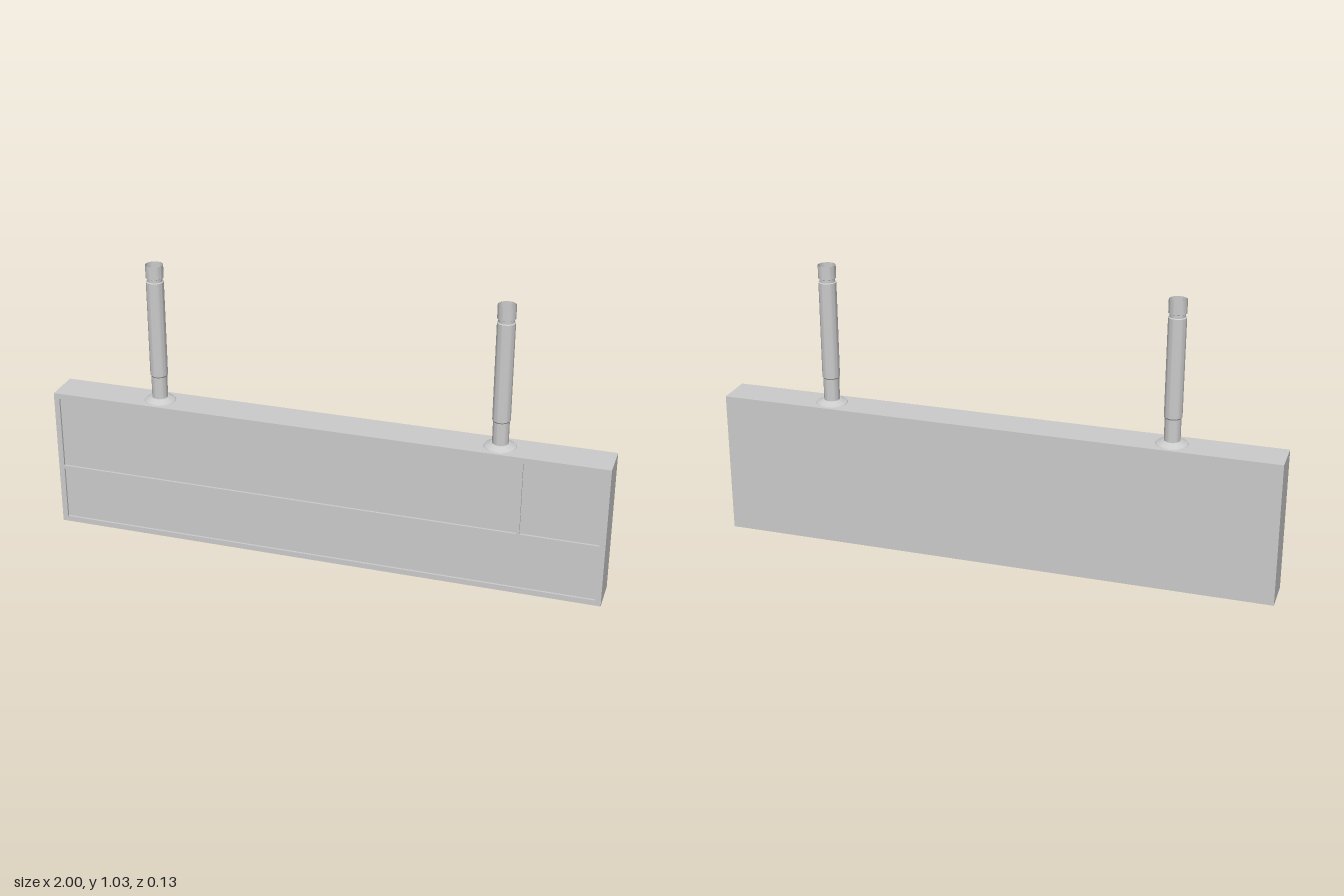
import * as THREE from 'three';
import { toCreasedNormals } from 'three/addons/utils/BufferGeometryUtils.js';

const W = 2, H = 0.518, D = 0.134, RECESS = 0.008;

function rectPath(PathType, x0, y0, x1, y1) {
  const p = new PathType();
  p.moveTo(x0, y0);
  p.lineTo(x1, y0);
  p.lineTo(x1, y1);
  p.lineTo(x0, y1);
  p.closePath();
  return p;
}

export function createModel() {
  const model = new THREE.Group();
  const grey = new THREE.MeshStandardMaterial({ color: 0xcccccc });
  const greyThin = new THREE.MeshStandardMaterial({ color: 0xcccccc, side: THREE.DoubleSide });

  const add = (name, geometry, material, x, y, z) => {
    const mesh = new THREE.Mesh(geometry, material);
    mesh.name = name;
    mesh.position.set(x, y, z);
    model.add(mesh);
  };

  // Sign body, its front forming the floor of the recessed panels
  add('signBody', new THREE.BoxGeometry(W, H, D - RECESS), grey, 0, H / 2, -RECESS / 2);

  // Front frame with three panel openings
  const frame = rectPath(THREE.Shape, -W / 2, 0, W / 2, H);
  const panels = [
    [-0.98, 0.02, 0.98, 0.218],
    [-0.98, 0.23, 0.698, 0.498],
    [0.708, 0.23, 0.98, 0.498],
  ];
  for (const p of panels) frame.holes.push(rectPath(THREE.Path, ...p));
  const frameGeometry = new THREE.ExtrudeGeometry(frame, { depth: RECESS, bevelEnabled: false });
  add('frontFrame', frameGeometry, grey, 0, 0, D / 2 - RECESS);

  // Hollow hanging posts: lower sleeve, main tube, groove and end collar
  const postProfile = [
    [0.028, H], [0.028, 0.612], [0.031, 0.617], [0.031, 0.965],
    [0.027, 0.967], [0.027, 0.978], [0.031, 0.98], [0.031, 1.026],
  ].map(([r, y]) => new THREE.Vector2(r, y));
  const postGeometry = toCreasedNormals(new THREE.LatheGeometry(postProfile, 32), 0.5);

  // Conical mounting flange around each post foot
  const flangeProfile = [[0.056, H], [0.054, 0.521], [0.032, 0.532], [0.028, 0.532]]
    .map(([r, y]) => new THREE.Vector2(r, y));
  const flangeGeometry = toCreasedNormals(new THREE.LatheGeometry(flangeProfile, 32), 0.4);

  for (const [side, x] of [['left', 0.615], ['right', -0.615]]) {
    add(side + 'Post', postGeometry, greyThin, x, 0, 0);
    add(side + 'Flange', flangeGeometry, greyThin, x, 0, 0);
  }
  return model;
}
